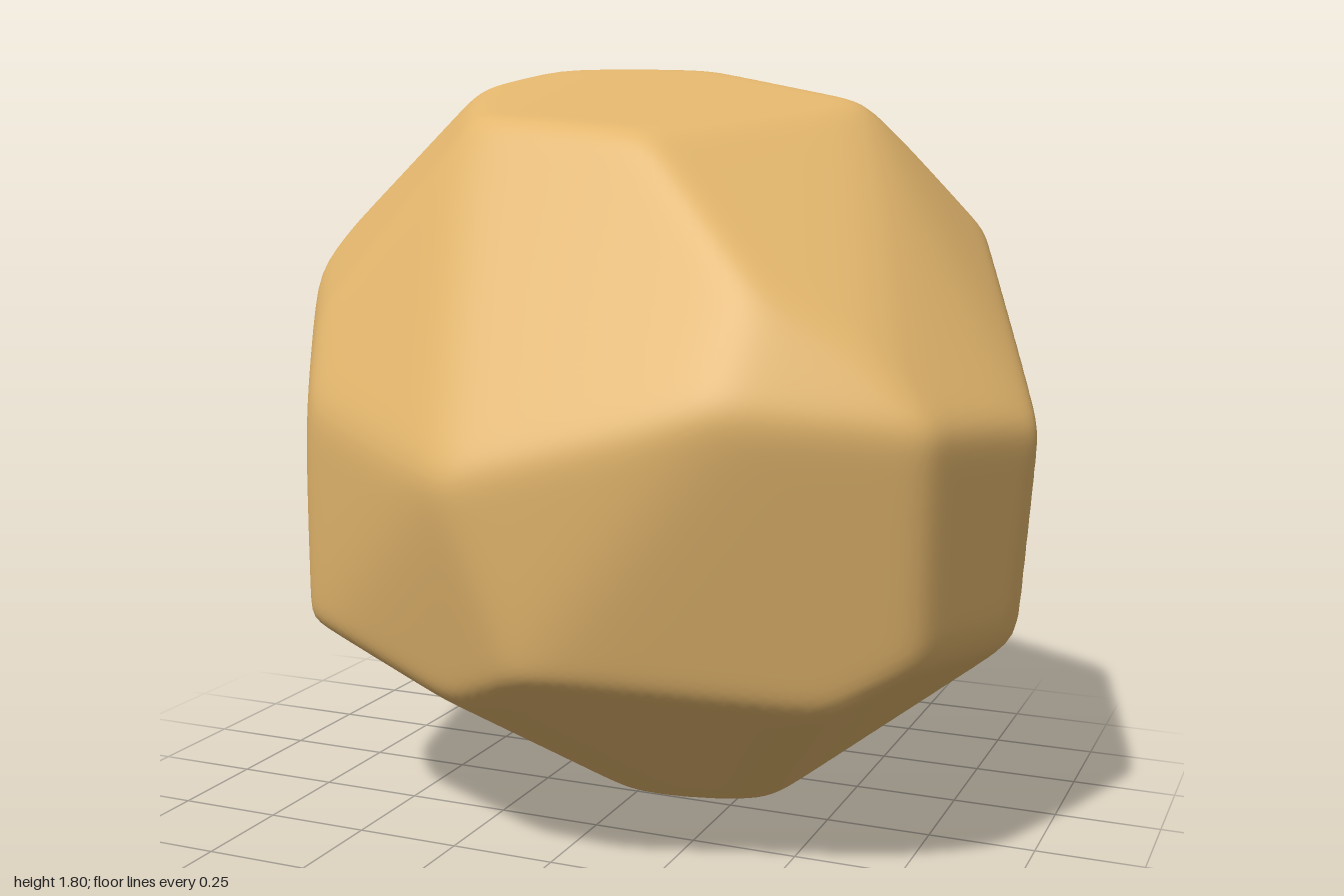
import * as THREE from 'three';
import { ConvexGeometry } from 'three/addons/geometries/ConvexGeometry.js';
import { mergeVertices } from 'three/addons/utils/BufferGeometryUtils.js';

// Corners of the stone, grouped by region
const CORNERS = [
  // top plateau
  [-0.33, 1.785, -0.28], [0.05, 1.77, -0.4], [0.54, 1.685, -0.13], [0.2, 1.62, 0.43],
  [-0.08, 1.645, 0.41], [-0.28, 1.68, 0.3], [-0.42, 1.735, -0.05],
  // shoulders
  [0.03, 1.62, -0.6], [-0.18, 1.53, -0.71], [-0.77, 1.42, -0.61], [-0.92, 1.37, -0.22],
  [-0.87, 1.27, 0.05], [-0.6, 1.2, 0.47], [0.75, 1.4, -0.37], [0.51, 1.31, 0.62],
  // waist
  [-0.57, 1.02, 0.57], [-0.1, 0.92, 0.83], [0.48, 1.08, 0.75], [0.87, 1.05, 0.58],
  [1.01, 1.02, 0.2], [-0.25, 1.0, -0.83], [-0.8, 1.13, -0.71], [-0.97, 1.05, -0.47], [-1.01, 0.88, -0.35],
  // lower rim
  [-0.73, 0.47, 0.28], [-0.59, 0.52, 0.54], [-0.15, 0.41, 0.68], [0.06, 0.51, 0.78],
  [0.79, 0.51, 0.48], [0.95, 0.52, 0.16], [0.68, 0.64, -0.47], [0.5, 0.48, -0.57], [0.19, 0.57, -0.73],
  // foot
  [-0.49, 0.13, -0.28], [0.02, 0, 0.02], [0.12, -0.012, -0.02], [0.36, 0.03, -0.02],
];
const CENTRE = new THREE.Vector3(0, 0.89, 0);
const SHARPNESS = 64;
const ROUNDING_ALLOWANCE = 1.01; // how far the soft maximum pulls a corner in

// Facet planes of the hull, with nearly parallel neighbours merged
function facetPlanes() {
  const hull = new ConvexGeometry(CORNERS.map(
    c => new THREE.Vector3(...c).sub(CENTRE).multiplyScalar(ROUNDING_ALLOWANCE)));
  const pos = hull.attributes.position;
  const tri = new THREE.Triangle();
  const planes = [];
  for (let i = 0; i < pos.count; i += 3) {
    tri.setFromAttributeAndIndices(pos, i, i + 1, i + 2);
    if (tri.getArea() < 0.002) continue;
    const normal = tri.getNormal(new THREE.Vector3());
    const h = normal.dot(tri.a);
    const twin = planes.find(p => p.normal.dot(normal) > 0.99);
    if (twin) twin.h = Math.max(twin.h, h);
    else planes.push({ normal, h });
  }
  return planes;
}

// Sphere pushed out to the facets; a soft maximum rounds the edges
function stoneGeometry() {
  const planes = facetPlanes();
  let geo = new THREE.IcosahedronGeometry(1, 48);
  geo.deleteAttribute('uv');
  geo.deleteAttribute('normal');
  geo = mergeVertices(geo);
  const pos = geo.attributes.position;
  const v = new THREE.Vector3();
  for (let i = 0; i < pos.count; i++) {
    v.fromBufferAttribute(pos, i).normalize();
    let sum = 0;
    for (const { normal, h } of planes) sum += Math.max(0, normal.dot(v) / h) ** SHARPNESS;
    v.multiplyScalar(sum ** (-1 / SHARPNESS)).add(CENTRE);
    pos.setXYZ(i, v.x, v.y, v.z);
  }
  geo.computeVertexNormals();
  return geo;
}

export function createModel() {
  const group = new THREE.Group();
  group.name = 'rock';
  const sandstone = new THREE.MeshStandardMaterial({ color: 0xe3b66d });
  sandstone.name = 'sandstone';
  const stone = new THREE.Mesh(stoneGeometry(), sandstone);
  stone.name = 'stone';
  group.add(stone);
  return group;
}
